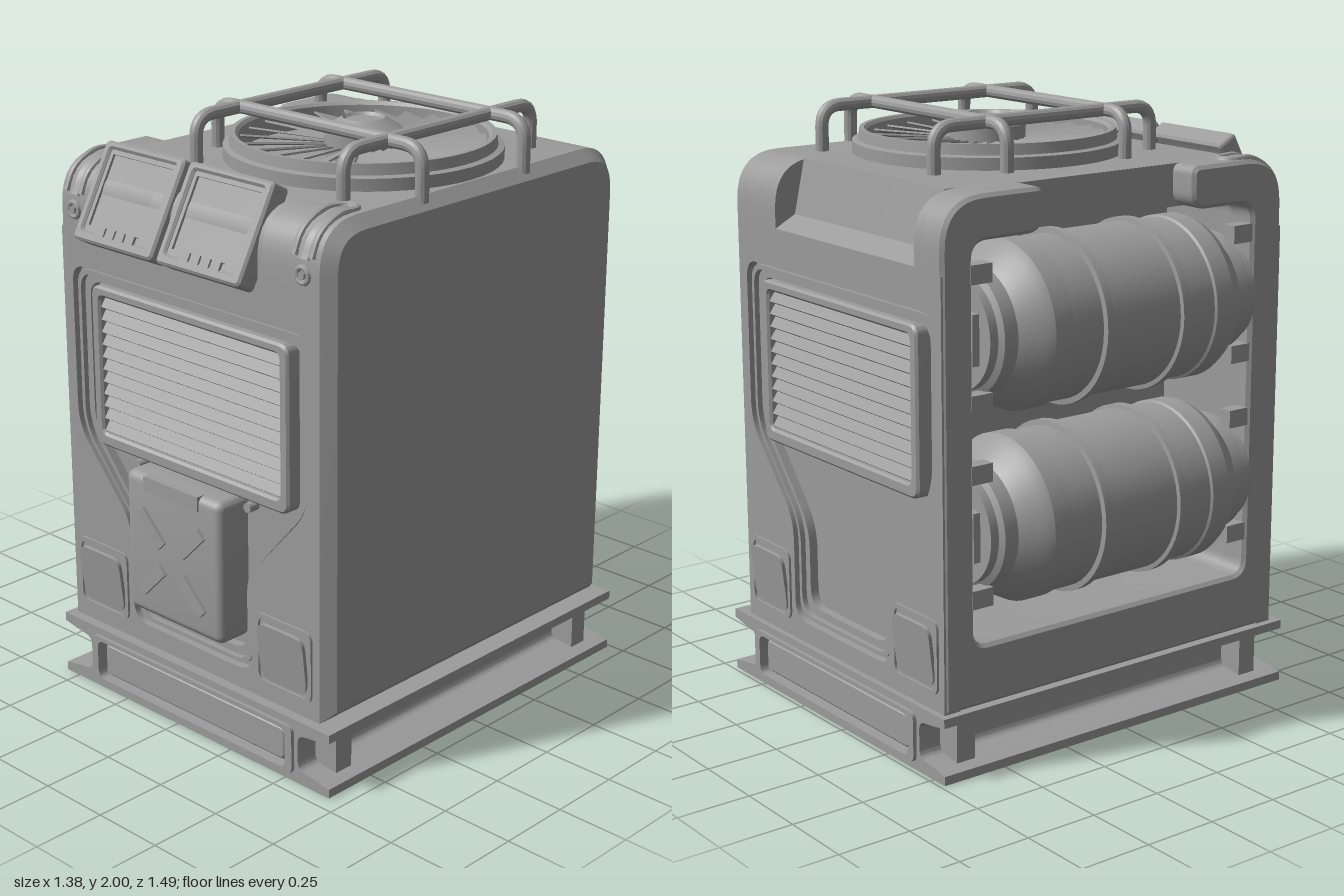
import * as THREE from 'three';
import { toCreasedNormals } from 'three/addons/utils/BufferGeometryUtils.js';
import { RoundedBoxGeometry } from 'three/addons/geometries/RoundedBoxGeometry.js';

const mat = new THREE.MeshStandardMaterial({ color: 0x9c9c9c, side: THREE.DoubleSide });

function add(parent, name, geo, x = 0, y = 0, z = 0) {
  const m = new THREE.Mesh(toCreasedNormals(geo, 0.45), mat);
  m.name = name;
  m.position.set(x, y, z);
  parent.add(m);
  return m;
}
function group(parent, name, x = 0, y = 0, z = 0) {
  const g = new THREE.Group();
  g.name = name;
  g.position.set(x, y, z);
  parent.add(g);
  return g;
}
const box = (w, h, d) => new THREE.BoxGeometry(w, h, d);
const disc = (r, h, n) => new THREE.CylinderGeometry(r, r, h, n).rotateX(Math.PI / 2);
const lathe = (pts) => new THREE.LatheGeometry(pts.map((p) => new THREE.Vector2(...p)), 48);

// Closed outline whose corners [x, y, radius] are rounded
function outline(pts, Type = THREE.Shape) {
  const s = new Type();
  pts.forEach(([x, y, r = 0], i) => {
    const c = new THREE.Vector2(x, y);
    const toward = (p) => c.clone().add(new THREE.Vector2(p[0] - x, p[1] - y).setLength(r));
    const a = toward(pts[(i + pts.length - 1) % pts.length]);
    const b = toward(pts[(i + 1) % pts.length]);
    if (i) s.lineTo(a.x, a.y); else s.moveTo(a.x, a.y);
    if (r) s.quadraticCurveTo(x, y, b.x, b.y);
  });
  s.closePath();
  return s;
}
const rect = (x0, x1, y0, y1, r = 0) => [[x0, y0, r], [x1, y0, r], [x1, y1, r], [x0, y1, r]];
const mirrored = (half) => half.concat(half.map(([x, y, r]) => [-x, y, r]).reverse());

// Extrude from z0 to z1, with optional hole and chamfered edges
function extrude(pts, z0, z1, hole, bevel = 0) {
  const s = outline(pts);
  if (hole) s.holes.push(outline(hole, THREE.Path));
  const g = new THREE.ExtrudeGeometry(s, {
    depth: z1 - z0 - 2 * bevel, curveSegments: 8, bevelEnabled: bevel > 0,
    bevelSize: bevel, bevelThickness: bevel, bevelOffset: -bevel, bevelSegments: 1,
  });
  return g.translate(0, 0, z0 + bevel);
}
// Outline given as [z, y, radius], extruded along x
function extrudeX(pts, x0, x1, hole, bevel) {
  const flip = (l) => l && l.map(([z, y, r]) => [-z, y, r]);
  return extrude(flip(pts), x0, x1, flip(hole), bevel).rotateY(Math.PI / 2);
}

function buildBase(root) {
  const base = group(root, 'base', 0.065, 0, -0.02);
  const profile = mirrored([[0.625, 0], [0.625, 0.03], [0.57, 0.04, 0.01], [0.49, 0.05, 0.03],
    [0.49, 0.17, 0.03], [0.57, 0.18, 0.01], [0.625, 0.19], [0.625, 0.22]]);
  add(base, 'beam', extrude(profile, -0.67, 0.67));
  for (const s of [1, -1]) {
    const end = group(base, s > 0 ? 'frontBeamEnd' : 'backBeamEnd');
    end.rotation.y = s > 0 ? 0 : Math.PI;
    add(end, 'endFrame', extrude(profile, 0.67, 0.715, rect(-0.475, 0.475, 0.025, 0.195, 0.03)));
    add(end, 'endRim', extrude(rect(-0.475, 0.475, 0.025, 0.195, 0.03), 0.67, 0.728, rect(-0.445, 0.445, 0.04, 0.18, 0.03)));
    add(end, 'endPanel', extrude(rect(-0.43, 0.43, 0.05, 0.17, 0.025), 0.66, 0.71, null, 0.01));
    for (const x of [-1, 1]) add(base, 'bracket', box(0.1, 0.16, 0.07), x * 0.53, 0.11, s * 0.6);
  }
}

// Recessed face panel used on front and back; its surface is local z = 0
function buildFace(root, name, z, back) {
  const f = group(root, name, 0.04, 0, z);
  if (back) f.rotation.y = Math.PI;
  const recess = (d) => mirrored([[0.28 - d, 0.29 + d, 0.07], [0.28 - d, 0.64 - d / 2, 0.08],
    [0.53 - d, 0.92, 0.08], [0.53 - d, 1.48 - d, 0.06]]);
  add(f, 'facePlate', extrude(rect(-0.575, 0.575, 0.22, 1.6), -0.06, 0, recess(0)));
  add(f, 'recessStep', extrude(recess(0), -0.06, -0.03, recess(0.05)));
  add(f, 'recessLip', extrude(recess(0.01), -0.06, -0.012, recess(0.024)));
  // louvred vent
  add(f, 'ventFrame', extrude(rect(-0.445, 0.445, 0.88, 1.43, 0.04), -0.06, 0, rect(-0.405, 0.405, 0.925, 1.395, 0.02), 0.008));
  for (let i = 0; i < 11; i++) {
    add(f, 'ventSlat', box(0.81, 0.042, 0.012), 0, 0.947 + i * 0.0425, -0.025).rotation.x = -0.6;
  }
  // flared corner pockets
  for (const s of [1, -1]) {
    add(f, 'pocketRim', extrude(rect(-0.122, 0.122, 0.275, 0.52, 0.035), -0.01, 0.008, rect(-0.108, 0.108, 0.288, 0.506, 0.03)), s * 0.425);
    add(f, 'pocketFlap', extrude(rect(-0.1, 0.1, 0, 0.2, 0.04), 0, 0.012), s * 0.425, 0.298, -0.008).rotation.x = 0.11;
  }
  return f;
}

function buildBody(root) {
  const body = group(root, 'body');
  const F = 0.66, B = -0.715, T = 1.83, R = 0.16;
  // side profiles; the stepped ones leave room for the face plates
  const frontEdge = [[B + 0.06, 0.22], [F - 0.06, 0.22], [F - 0.06, 1.6], [F, 1.6], [F, T, R]];
  const backEdge = [[B, T, R], [B, 1.6], [B + 0.06, 1.6]];
  const plain = [[B, 0.22], [F, 0.22], [F, T, R], [B, T, R]];
  const full = [...frontEdge, ...backEdge];
  const notched = [...frontEdge, [-0.6, T], [-0.64, 1.65], [B, 1.61], [B, 1.6], [B + 0.06, 1.6]];
  const bay = rect(-0.6, 0.53, 0.42, 1.69, 0.05);
  const opening = [[0.27, T, 0.03], [0.27, 1.69, 0.06], [0.53, 1.69, 0.06], [0.53, 0.42, 0.05],
    [-0.6, 0.42, 0.05], [-0.6, 1.69, 0.06], [-0.33, 1.69, 0.06], [-0.33, T, 0.03]];
  add(body, 'tankBayRim', extrudeX([...plain.slice(0, 3), ...opening, plain[3]], -0.54, -0.51, null, 0.012));
  add(body, 'tankBayFrame', extrudeX([...frontEdge, ...opening, ...backEdge], -0.525, -0.44));
  add(body, 'tankBayShell', extrudeX(full, -0.44, -0.4, bay));
  add(body, 'tankBayInner', extrudeX(notched, -0.4, -0.12, bay));
  add(body, 'core', extrudeX(notched, -0.12, 0.38));
  add(body, 'coreSide', extrudeX(full, 0.38, 0.615));
  add(body, 'sidePanel', extrudeX(plain, 0.575, 0.655, null, 0.038));

  // front face with hatch
  const front = buildFace(body, 'frontFace', F, false);
  const hatch = group(front, 'hatch', 0, 0.63, 0);
  add(hatch, 'hatchBox', new RoundedBoxGeometry(0.44, 0.49, 0.14, 3, 0.03), 0, 0, 0.005);
  add(hatch, 'hatchHandle', box(0.25, 0.05, 0.03), 0, 0.22, 0.065);
  for (const sx of [1, -1]) {
    for (const sy of [1, -1]) {
      add(hatch, 'crossBar', box(0.14, 0.042, 0.02), sx * 0.092, sy * 0.09 - 0.015, 0.077).rotation.z = sx * sy * Math.PI / 4;
    }
    add(front, 'hatchBolt', disc(0.016, 0.04, 12), sx * 0.255, 0.85, -0.03);
  }
  buildFace(body, 'backFace', B, true);

  // latches wrapped over the top front corners
  const path = new THREE.CatmullRomCurve3([[1.83, 0.48], [1.83, 0.54], [1.787, 0.622], [1.72, 0.658]]
    .map(([y, z]) => new THREE.Vector3(0, y, z)));
  for (const x of [-0.47, 0.55]) {
    for (const s of [-1, 1]) add(body, 'latchRail', new THREE.TubeGeometry(path, 16, 0.012, 8), x + s * 0.035);
    add(body, 'latchStrap', new THREE.TubeGeometry(path, 16, 0.02, 8).scale(1.4, 1, 1), x, -0.012, -0.008);
    add(body, 'latchEnd', new THREE.TorusGeometry(0.035, 0.012, 8, 12, Math.PI).rotateX(-Math.PI / 2), x, 1.83, 0.48);
    add(body, 'boltRing', new THREE.TorusGeometry(0.024, 0.009, 8, 20), x, 1.665, F);
    add(body, 'bolt', disc(0.014, 0.02, 6), x, 1.665, F);
  }
}

function buildScreens(root) {
  for (const x of [-0.205, 0.18]) {
    const s = group(root, 'screen', x, 1.738, 0.64);
    s.rotation.x = -0.5;
    add(s, 'screenFrame', extrude(rect(-0.183, 0.183, -0.165, 0.165, 0.02), -0.05, 0.028, rect(-0.152, 0.152, -0.13, 0.14, 0.01), 0.008));
    add(s, 'screenInnerFrame', extrude(rect(-0.155, 0.155, -0.133, 0.143), -0.04, 0.018, rect(-0.138, 0.138, -0.11, 0.125)));
    add(s, 'screenPane', box(0.28, 0.25, 0.04), 0, 0.01, -0.011);
    for (let i = 0; i < 4; i++) add(s, 'screenButton', box(0.038, 0.035, 0.02), (i - 1.5) * 0.045, -0.125, 0.018);
  }
}

function buildTanks(root) {
  const half = [[0, 0.565], [0.1, 0.565], [0.1, 0.54], [0.18, 0.54], [0.18, 0.51], [0.2, 0.5], [0.2, 0.45], [0.255, 0.39], [0.27, 0.36],
    [0.27, 0.29], [0.262, 0.285], [0.262, 0.17], [0.28, 0.168], [0.28, 0.14], [0.266, 0.138]];
  const profile = half.map(([r, z]) => [r, -z]).concat(half.slice().reverse());
  for (const y of [1.39, 0.77]) {
    const t = group(root, 'tank', -0.41, y, -0.035);
    add(t, 'tankShell', lathe(profile).rotateX(Math.PI / 2));
    for (const s of [-1, 1]) {
      add(t, 'tankMount', box(0.12, 0.16, 0.06), -0.065, 0, s * 0.535);
      for (const dy of [-0.2, 0.2]) add(t, 'tankClip', box(0.05, 0.06, 0.08), -0.1, dy, s * 0.53);
    }
  }
}

function buildFan(root) {
  const fan = group(root, 'fan', 0.16, 0, -0.02);
  add(fan, 'fanRing', lathe([[0.45, 1.82], [0.45, 1.87], [0.43, 1.875], [0.425, 1.91], [0.41, 1.91], [0.4, 1.9], [0.4, 1.82]]));
  const n = 24;
  const blade = [[0.1, -0.014], [0.395, -0.052], [0.395, 0.052], [0.1, 0.014]];
  for (let i = 0; i < n; i++) {
    const arm = group(fan, 'bladeArm', 0, 1.868, 0);
    arm.rotation.y = (i / n) * Math.PI * 2;
    add(arm, 'fanBlade', extrude(blade, -0.003, 0.003).rotateX(Math.PI / 2)).rotation.x = 0.3;
  }
  add(fan, 'fanHub', lathe([[0.125, 1.83], [0.125, 1.92], [0.068, 1.955], [0.06, 1.945], [0, 1.945]]));
}

// Bent tube: up, across and down again
function guardTube(a, b) {
  const top = 1.977, r = 0.07;
  const dir = b.clone().sub(a).setLength(r);
  const at = (p, y) => new THREE.Vector3(p.x, y, p.z);
  const path = new THREE.CurvePath();
  const a1 = at(a, top - r), a2 = at(a, top).add(dir), b1 = at(b, top).sub(dir), b2 = at(b, top - r);
  path.add(new THREE.LineCurve3(at(a, 1.81), a1));
  path.add(new THREE.QuadraticBezierCurve3(a1, at(a, top), a2));
  path.add(new THREE.LineCurve3(a2, b1));
  path.add(new THREE.QuadraticBezierCurve3(b1, at(b, top), b2));
  path.add(new THREE.LineCurve3(b2, at(b, 1.81)));
  return new THREE.TubeGeometry(path, 72, 0.022, 12);
}
function buildGuard(root) {
  const g = group(root, 'fanGuard');
  const v = (x, z) => new THREE.Vector3(x, 0, z);
  for (const z of [-0.26, 0.22]) add(g, 'guardBar', guardTube(v(-0.26, z), v(0.62, z)));
  for (const x of [-0.155, 0.48]) add(g, 'guardBar', guardTube(v(x, -0.465), v(x, 0.415)));
}

export function createModel() {
  const root = new THREE.Group();
  root.name = 'coolingUnit';
  [buildBase, buildBody, buildScreens, buildTanks, buildFan, buildGuard].forEach((build) => build(root));
  return root;
}
